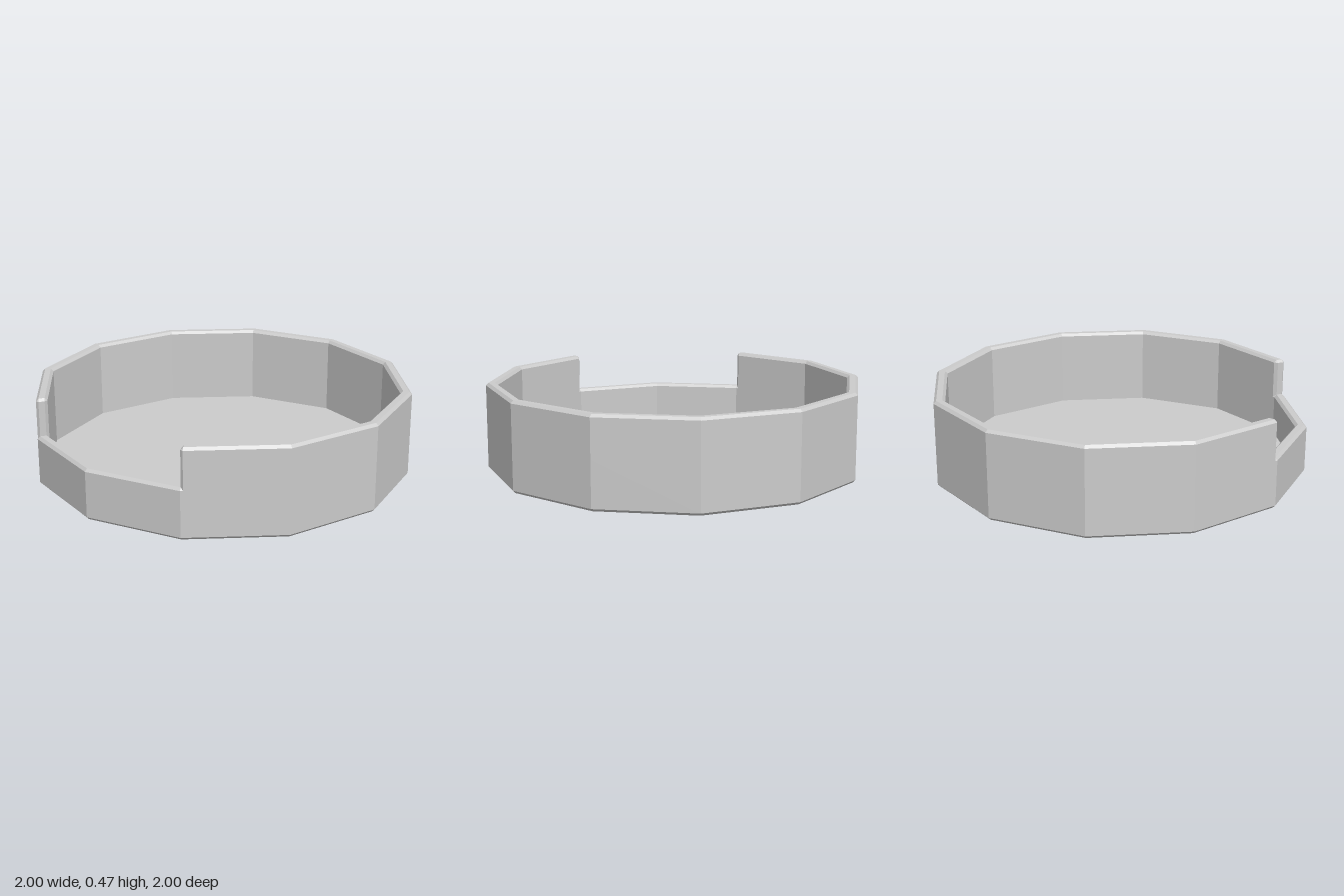
import * as THREE from 'three';

const SIDES = 12;
const R = 1, r = 0.94, BEVEL = 0.014;
const LOW = 0.268, HIGH = 0.468, FLOOR = 0.05;

function flatMesh(name, geometry) {
  const g = geometry.index ? geometry.toNonIndexed() : geometry;
  g.computeVertexNormals();
  const mesh = new THREE.Mesh(g, new THREE.MeshStandardMaterial({ color: 0xcccccc, flatShading: true }));
  mesh.name = name;
  return mesh;
}

// Point on the twelve-sided outline; t counts corners from the front, fractions lie along a side
function outline(radius, t, y) {
  const i = Math.floor(t), f = t - i;
  const corner = (k) => {
    const a = (k / SIDES) * Math.PI * 2;
    return new THREE.Vector3(Math.sin(a) * radius, y, Math.cos(a) * radius);
  };
  return corner(i).lerp(corner(i + 1), f);
}

// Skin between successive cross-sections, with a flat cap on both ends
function skin(sections) {
  const pos = [];
  const tri = (a, b, c) => pos.push(...a.toArray(), ...b.toArray(), ...c.toArray());
  for (let s = 0; s < sections.length - 1; s++) {
    const A = sections[s], B = sections[s + 1];
    for (let j = 0; j < A.length - 1; j++) {
      tri(A[j], B[j], B[j + 1]);
      tri(A[j], B[j + 1], A[j + 1]);
    }
  }
  const first = sections[0], last = sections[sections.length - 1];
  for (let j = 1; j < first.length - 1; j++) {
    tri(first[0], first[j], first[j + 1]);
    tri(last[0], last[j + 1], last[j]);
  }
  const g = new THREE.BufferGeometry();
  g.setAttribute('position', new THREE.Float32BufferAttribute(pos, 3));
  return g;
}

export function createModel() {
  const model = new THREE.Group();
  model.name = 'roundBed';

  // Base tray: bevelled bottom, low wall and floor
  const tray = [
    [0, 0], [R - BEVEL, 0], [R, BEVEL], [R, LOW - BEVEL], [R - BEVEL, LOW],
    [r + BEVEL, LOW], [r, LOW - BEVEL], [r, FLOOR], [0, FLOOR],
  ].map(([x, y]) => new THREE.Vector2(x, y));
  model.add(flatMesh('baseTray', new THREE.LatheGeometry(tray, SIDES)));

  // High wall around ten sides, leaving the front entrance open
  const y0 = LOW - BEVEL, y1 = HIGH - BEVEL;
  const full = [[R, y0], [R, y1], [R - BEVEL, HIGH], [r + BEVEL, HIGH], [r, y1], [r, y0]];
  const inset = full.map(([x, y]) => [
    THREE.MathUtils.clamp(x, r + BEVEL, R - BEVEL), Math.min(y, y1),
  ]);
  const section = (profile, t) => profile.map(([x, y]) => outline(x, t, y));
  const e = 0.027;
  const sections = [section(inset, 1), section(full, 1 + e)];
  for (let k = 2; k <= SIDES - 2; k++) sections.push(section(full, k));
  sections.push(section(full, SIDES - 1 - e), section(inset, SIDES - 1));
  model.add(flatMesh('highWall', skin(sections)));

  return model;
}
